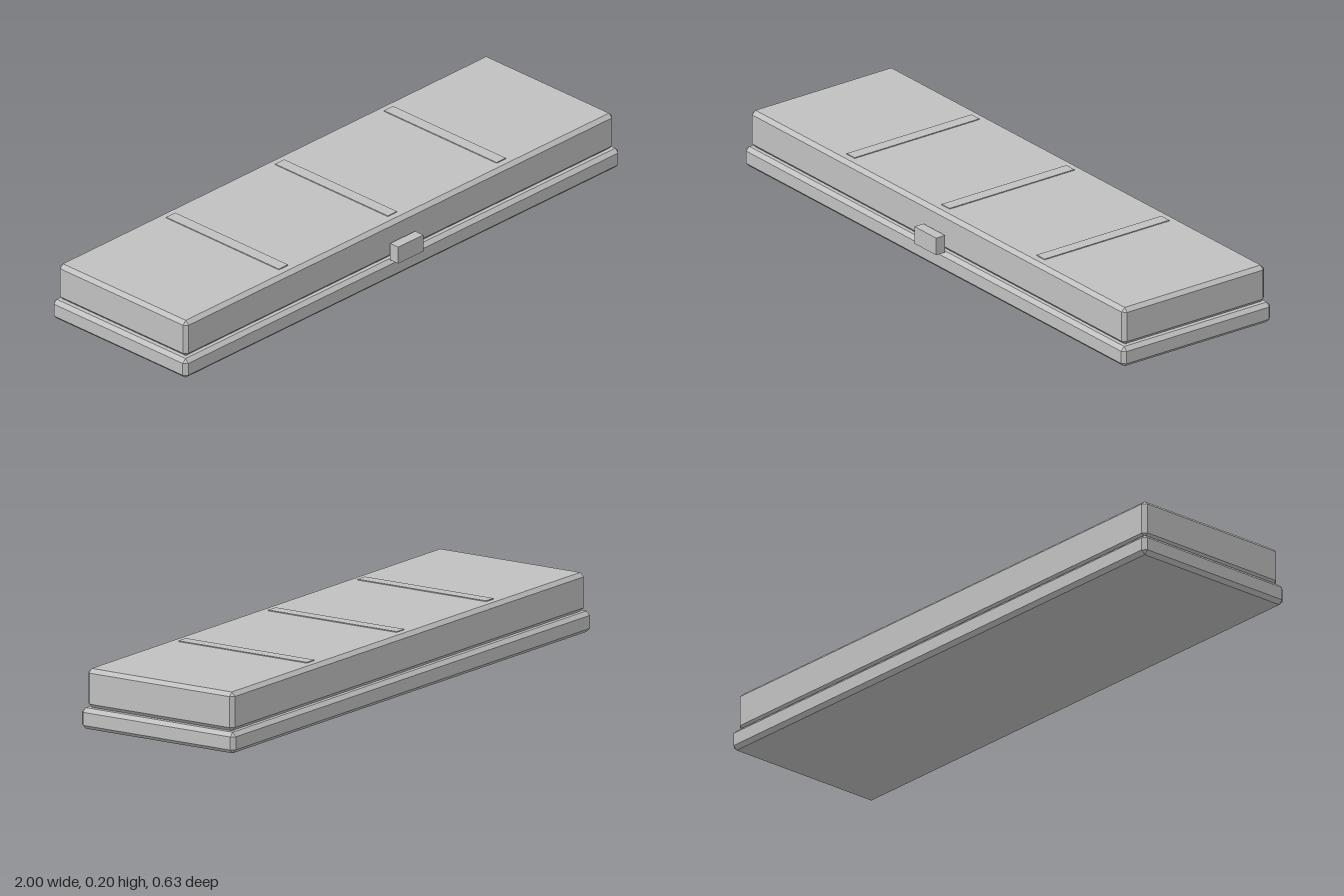
import * as THREE from 'three';
import { ConvexGeometry } from 'three/addons/geometries/ConvexGeometry.js';

// Box with every edge and corner cut by a flat chamfer
function chamferedBox(w, h, d, c) {
  const half = [w / 2, h / 2, d / 2];
  const points = [];
  for (const sx of [-1, 1]) for (const sy of [-1, 1]) for (const sz of [-1, 1]) {
    for (let full = 0; full < 3; full++) {
      const [x, y, z] = half.map((v, i) => (i === full ? v : v - c));
      points.push(new THREE.Vector3(sx * x, sy * y, sz * z));
    }
  }
  return new ConvexGeometry(points);
}

export function createModel() {
  const model = new THREE.Group();
  model.name = 'case';

  const metal = new THREE.MeshStandardMaterial({ color: 0xc0c0c0 });
  metal.name = 'grey metal';

  const add = (name, geometry, x, y, z) => {
    const mesh = new THREE.Mesh(geometry, metal);
    mesh.name = name;
    mesh.position.set(x, y, z);
    model.add(mesh);
  };

  // Lower tray and slightly smaller lid
  add('base', chamferedBox(2, 0.069, 0.6, 0.013), 0, 0.0345, -0.016);
  add('lid', chamferedBox(1.97, 0.128, 0.573, 0.013), 0, 0.133, -0.016);

  // Thin ribs across the lid
  for (const x of [-0.5, 0, 0.5]) {
    add('lidRib', new THREE.BoxGeometry(0.042, 0.008, 0.502), x, 0.196, -0.016);
  }

  // Latch standing just clear of the front
  add('latch', new THREE.BoxGeometry(0.115, 0.06, 0.036), 0, 0.101, 0.299);

  return model;
}
